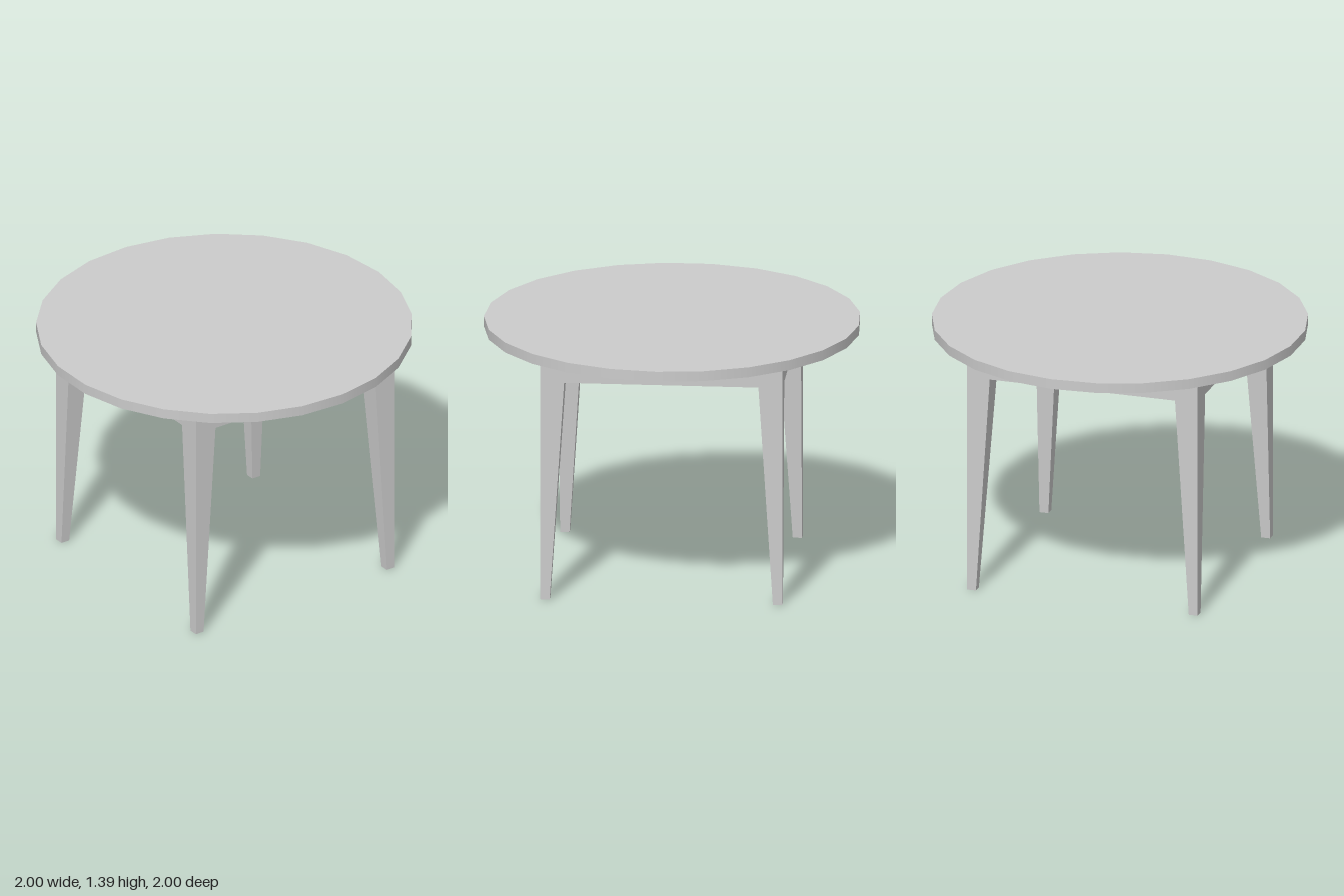
import * as THREE from 'three';

const material = new THREE.MeshStandardMaterial({ color: 0xcccccc, flatShading: true });
const smoothMaterial = new THREE.MeshStandardMaterial({ color: 0xcccccc });

const TOP_UNDER = 1.332, TOP_UPPER = 1.387;
const APRON_BOTTOM = 1.205;
const HALF = 0.645;            // outer face of the legs
const LEG_TOP = 0.127, LEG_FOOT = 0.05;
const APRON_THICK = 0.035, RECESS = 0.005;

// Leg with vertical outer faces; the inner faces taper below the apron
function makeLeg(sx, sz) {
  const geometry = new THREE.BoxGeometry(1, 1, 1, 1, 2, 1);
  const p = geometry.attributes.position;
  for (let i = 0; i < p.count; i++) {
    const level = Math.round((p.getY(i) + 0.5) * 2);
    const width = level === 0 ? LEG_FOOT : LEG_TOP;
    const inward = (v, s) => s * (v * s > 0 ? HALF : HALF - width);
    p.setXYZ(i, inward(p.getX(i), sx), [0, APRON_BOTTOM, TOP_UNDER][level], inward(p.getZ(i), sz));
  }
  geometry.computeVertexNormals();
  return new THREE.Mesh(geometry, material);
}

export function createModel() {
  const table = new THREE.Group();
  table.name = 'roundTable';

  // Round top with 25 sides, one corner pointing to +x
  const top = new THREE.Mesh(
    new THREE.CylinderGeometry(1.002, 1.002, TOP_UPPER - TOP_UNDER, 25, 1, false, Math.PI / 2),
    smoothMaterial
  );
  top.name = 'tableTop';
  top.position.set(-0.004, (TOP_UPPER + TOP_UNDER) / 2, 0);
  table.add(top);

  const frame = new THREE.Group();
  frame.name = 'frame';
  frame.position.set(-0.003, 0, 0.004);
  table.add(frame);

  // Four legs
  for (const [name, sx, sz] of [
    ['frontLeftLeg', 1, 1], ['frontRightLeg', -1, 1],
    ['backLeftLeg', 1, -1], ['backRightLeg', -1, -1],
  ]) {
    const leg = makeLeg(sx, sz);
    leg.name = name;
    frame.add(leg);
  }

  // Apron rails between the legs; front and right ones sit slightly back
  const length = 2 * (HALF - LEG_TOP);
  const height = TOP_UNDER - APRON_BOTTOM;
  for (const [name, angle, recess] of [
    ['frontApron', 0, RECESS], ['leftApron', Math.PI / 2, 0],
    ['backApron', Math.PI, 0], ['rightApron', -Math.PI / 2, RECESS],
  ]) {
    const rail = new THREE.Mesh(new THREE.BoxGeometry(length, height, APRON_THICK), material);
    const reach = HALF - recess - APRON_THICK / 2;
    rail.name = name;
    rail.rotation.y = angle;
    rail.position.set(Math.sin(angle) * reach, APRON_BOTTOM + height / 2, Math.cos(angle) * reach);
    frame.add(rail);
  }

  return table;
}
